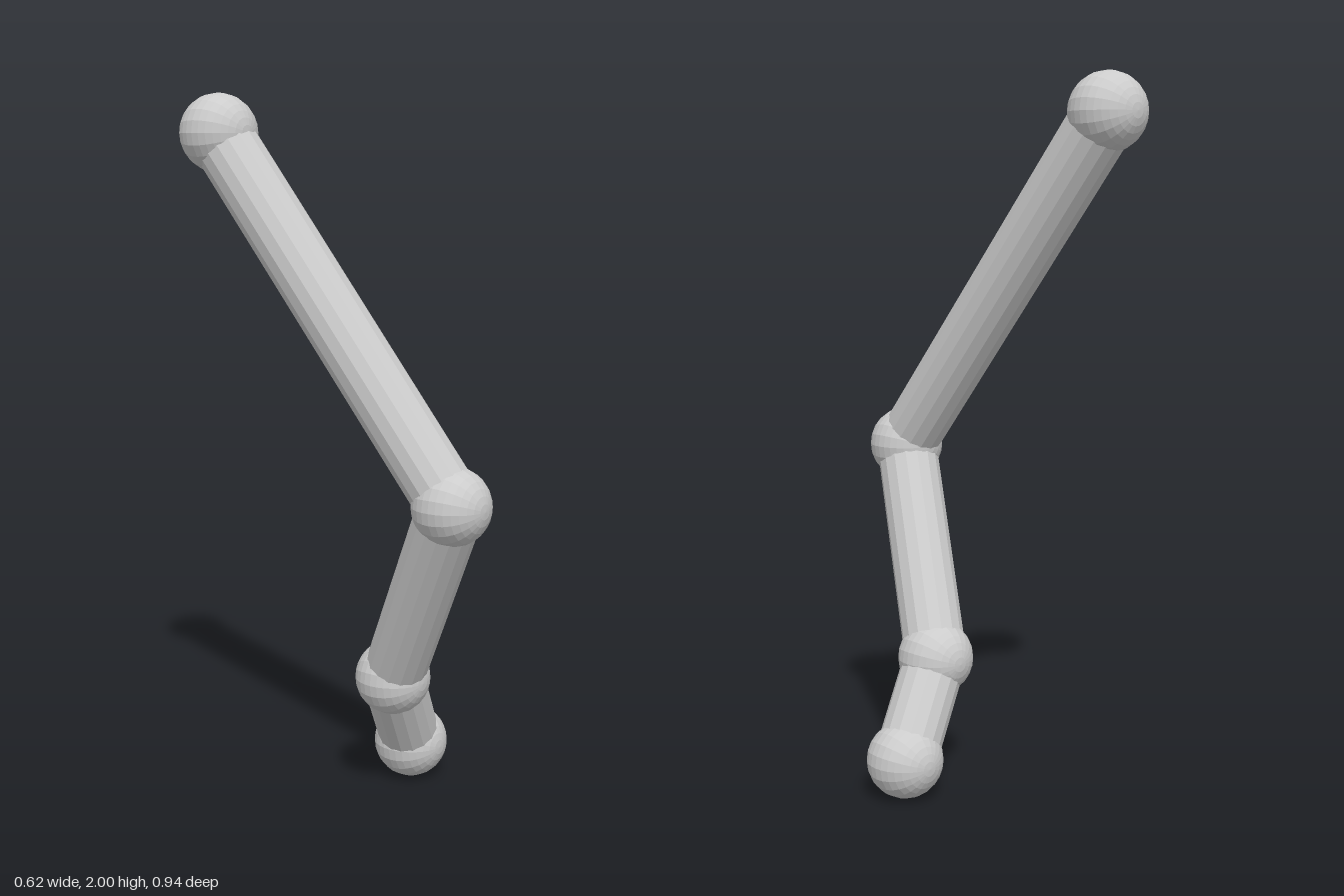
import * as THREE from 'three';

const JOINT_RADIUS = 0.108;
const BONE_RADIUS = 0.089;

export function createModel() {
  const model = new THREE.Group();
  model.name = 'jointedArm';
  const material = new THREE.MeshStandardMaterial({ color: 0xcccccc, flatShading: true });

  // Joint centres from the top of the chain to the foot
  const joints = [
    ['topJoint', -0.2, 1.892, -0.365],
    ['middleJoint', -0.113, 0.932, 0.363],
    ['lowerJoint', 0.037, 0.361, 0.058],
    ['footJoint', 0.199, 0.108, 0.003],
  ].map(([name, x, y, z]) => ({ name, at: new THREE.Vector3(x, y, z) }));

  // Ball joints, poles facing front and back
  const ball = new THREE.SphereGeometry(JOINT_RADIUS, 20, 16).rotateX(Math.PI / 2);
  for (const { name, at } of joints) {
    const mesh = new THREE.Mesh(ball, material);
    mesh.name = name;
    mesh.position.copy(at);
    model.add(mesh);
  }

  // Straight rods between neighbouring joints
  const up = new THREE.Vector3(0, 1, 0);
  ['upperRod', 'middleRod', 'lowerRod'].forEach((name, i) => {
    const a = joints[i].at, b = joints[i + 1].at;
    const dir = a.clone().sub(b);
    const rod = new THREE.Mesh(
      new THREE.CylinderGeometry(BONE_RADIUS, BONE_RADIUS, dir.length(), 16), material);
    rod.name = name;
    rod.position.copy(a).lerp(b, 0.5);
    rod.quaternion.setFromUnitVectors(up, dir.normalize());
    model.add(rod);
  });

  return model;
}
